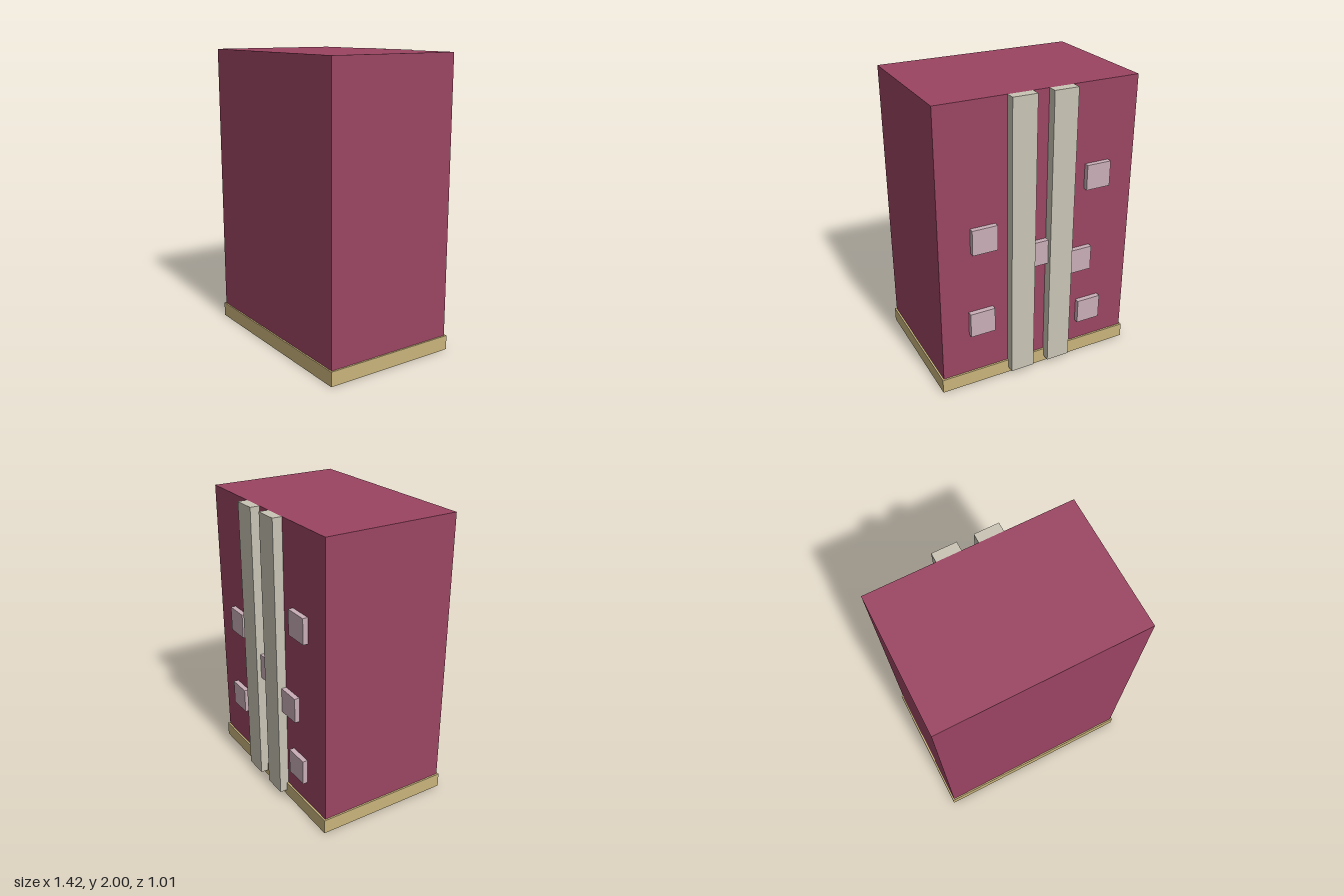
import * as THREE from 'three';

export function createModel() {
  const model = new THREE.Group();
  const paint = (name, color) => {
    const m = new THREE.MeshStandardMaterial({ color });
    m.name = name;
    return m;
  };
  const maroon = paint('maroon', 0x9b4462);
  const tan = paint('tan', 0xc9b47c);
  const stone = paint('stone', 0xc9c4b5);
  const mauve = paint('mauve', 0xc9aeb7);

  // Box given by its minimum and maximum corners
  const box = (name, material, [x0, y0, z0], [x1, y1, z1]) => {
    const mesh = new THREE.Mesh(new THREE.BoxGeometry(x1 - x0, y1 - y0, z1 - z0), material);
    mesh.position.set((x0 + x1) / 2, (y0 + y1) / 2, (z0 + z1) / 2);
    mesh.name = name;
    model.add(mesh);
  };

  const back = -0.44;

  // Plinth and main block
  box('base', tan, [-0.712, 0, -0.453], [0.712, 0.1, 0.505]);
  box('body', maroon, [-0.7, 0.1, back], [0.7, 2, 0.495]);

  // Two full-height pilasters on the back
  for (const x of [-0.14, 0.14]) {
    box('pilaster', stone, [x - 0.084, 0.04, -0.505], [x + 0.084, 2, back]);
  }

  // Small square blocks scattered over the back: centre x, centre y
  const blocks = [
    [0.397, 1.093], [0.42, 0.487], [0, 0.898],
    [-0.42, 1.37], [-0.305, 0.768], [-0.397, 0.345],
  ];
  const half = 0.087;
  for (const [x, y] of blocks) {
    box('wallBlock', mauve, [x - half, y - half, -0.475], [x + half, y + half, back]);
  }

  return model;
}
